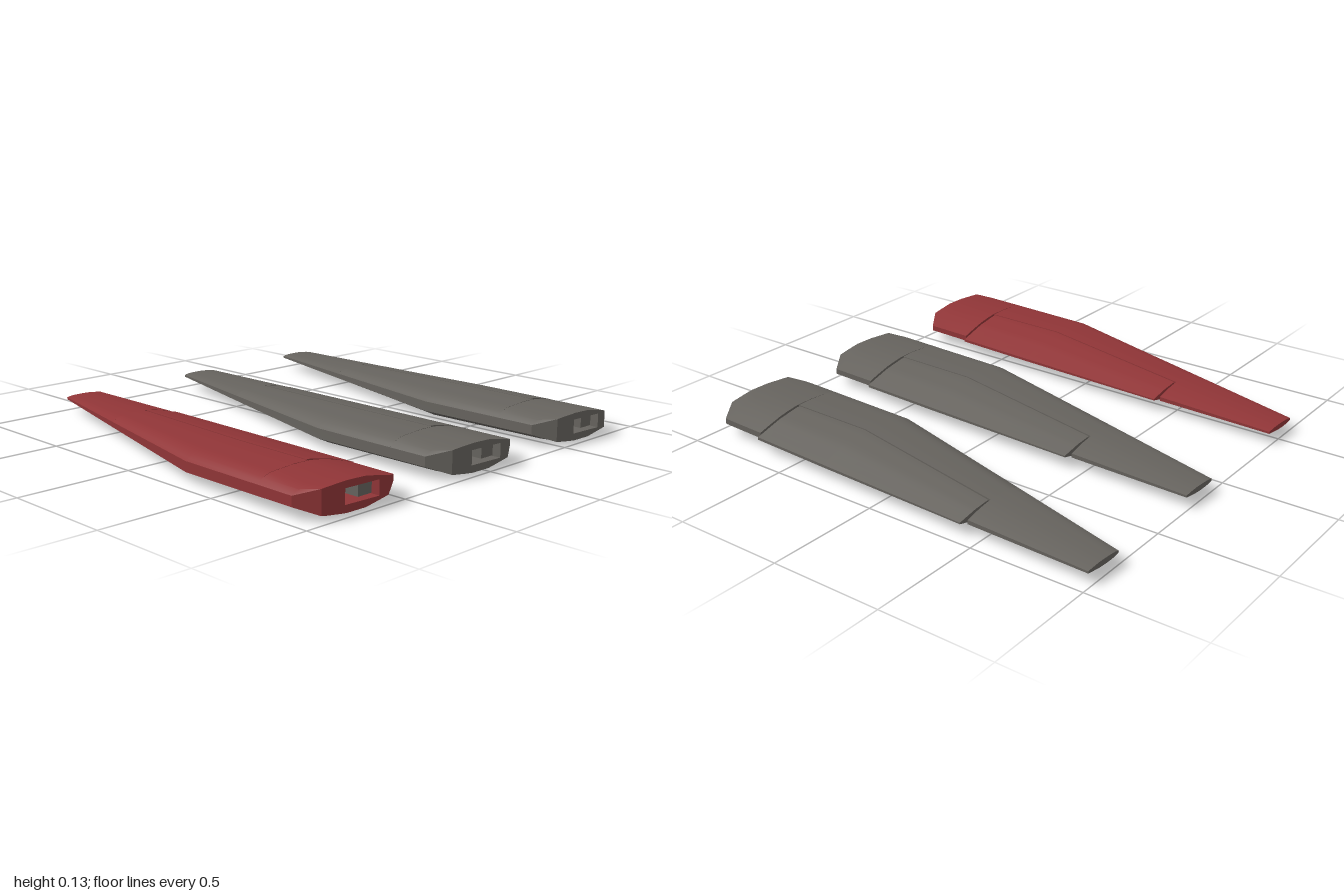
import * as THREE from 'three';
import { toCreasedNormals } from 'three/addons/utils/BufferGeometryUtils.js';

const material = (name, color) => new THREE.MeshStandardMaterial({ name, color });

// Straight-line interpolation through [key, value] pairs
function sample(table, t) {
  let i = 0;
  while (i < table.length - 2 && t > table[i + 1][0]) i++;
  const [a, va] = table[i], [b, vb] = table[i + 1];
  return va + (vb - va) * THREE.MathUtils.clamp((t - a) / (b - a), 0, 1);
}

// Wing planform and aerofoil rules
const LEADING = [[-1, 0.095], [0.29, -0.245], [0.89, -0.265], [1, -0.268]];
const UPPER = [[0, 0.024], [0.06, 0.044], [0.13, 0.057], [0.37, 0.065], [0.55, 0.063], [0.75, 0.044], [1, 0.004]];
const LOWER = [[0, -0.02], [0.13, -0.05], [0.35, -0.064], [0.55, -0.062], [0.8, -0.034], [1, -0.008]];
const THICKNESS = [[-1, 0.19], [0.3, 1], [1, 0.93]];
const MIDLINE = [[-1, 0.057], [0.3, 0.066], [1, 0.072]];
const fixedTrailing = z => 0.24 - 0.035 * z;
const FRACTIONS = [0, 0.06, 0.13, 0.25, 0.37, 0.46, 0.55, 0.65, 0.75, 0.88, 1];

function surfaceY(table, x, z) {
  const lead = sample(LEADING, z);
  const u = (x - lead) / (fixedTrailing(z) + 0.025 - lead);
  return sample(MIDLINE, z) + sample(THICKNESS, z) * sample(table, u);
}

// Cross-section between two plan points: over the top, then back underneath
function section([xa, za, xb, zb]) {
  const over = [], under = [];
  for (const f of FRACTIONS) {
    const x = xa + (xb - xa) * f, z = za + (zb - za) * f;
    over.push([x, surfaceY(UPPER, x, z), z]);
    under.unshift([x, surfaceY(LOWER, x, z), z]);
  }
  return [...over, ...under];
}

// Skin over matching rings, with optional flat ends
function loft(rings, startCap = true, endCap = true) {
  const n = rings[0].length, index = [];
  for (let i = 0; i < rings.length - 1; i++) {
    for (let j = 0; j < n; j++) {
      const a = i * n + j, b = i * n + (j + 1) % n;
      index.push(a, a + n, b, b, a + n, b + n);
    }
  }
  const cap = (o, flip) => {
    for (let k = 0; k < n / 2 - 1; k++) {
      const u = o + k, l = o + n - 1 - k;
      const t = [u, l, l - 1, u, l - 1, u + 1];
      index.push(...(flip ? t.reverse() : t));
    }
  };
  if (startCap) cap(0, true);
  if (endCap) cap((rings.length - 1) * n, false);
  const g = new THREE.BufferGeometry();
  g.setAttribute('position', new THREE.Float32BufferAttribute(rings.flat(2), 3));
  g.setIndex(index);
  return toCreasedNormals(g, 0.35);
}

// Root end plate with a rectangular socket opening
const HOLE = { x0: -0.095, x1: 0.07, y0: 0.043, y1: 0.104 };
const ROOT = [-0.205, 0.975, 0.115, 0.995];
const rootZ = x => 0.975 + (x + 0.205) * 0.0625;

function rootPlate() {
  const shape = new THREE.Shape(section(ROOT).map(p => new THREE.Vector2(p[0], p[1])));
  const { x0, x1, y0, y1 } = HOLE;
  shape.holes.push(new THREE.Path([[x0, y0], [x0, y1], [x1, y1], [x1, y0]].map(p => new THREE.Vector2(...p))));
  const g = new THREE.ShapeGeometry(shape), pos = g.attributes.position;
  for (let i = 0; i < pos.count; i++) pos.setZ(i, rootZ(pos.getX(i)));
  g.computeVertexNormals();
  return g;
}

function socket() {
  const { x0, x1, y0, y1 } = HOLE;
  const ring = z => [[x0, y1], [x1, y1], [x1, y0], [x0, y0]].map(([x, y]) => [x, y, z(x)]);
  // front-to-back order turns the walls inward
  return loft([ring(rootZ), ring(() => 0.8)], false, true);
}

function createWing(name, paint, sparPaint) {
  const wing = new THREE.Group();
  wing.name = name;
  const add = (part, geometry, mat = paint) => {
    const mesh = new THREE.Mesh(geometry, mat);
    mesh.name = part;
    wing.add(mesh);
    return mesh;
  };
  const lead = z => sample(LEADING, z);
  const panel = (stations, end = true) => loft(stations.map(section), true, end);

  // Fixed wing: outer panel, panel ahead of the flap, root panel
  add('outerPanel', panel([
    [lead(-1), -1, 0.275, -0.99],
    [lead(-0.44), -0.442, fixedTrailing(-0.44), -0.438],
  ]));
  add('frontPanel', panel([
    [lead(-0.44), -0.442, 0.118, -0.44],
    [lead(0.29), 0.29, -0.001, 0.31],
    [lead(0.705), 0.705, -0.007, 0.705],
  ]));
  add('rootPanel', panel([
    [lead(0.705), 0.705, 0.215, 0.712],
    [-0.265, 0.89, 0.208, 0.935],
    ROOT,
  ], false));

  // Flap, set off from the wing by a narrow gap
  add('flap', panel([
    [0.125, -0.434, 0.28, -0.421],
    [0.005, 0.31, 0.254, 0.31],
    [-0.001, 0.694, 0.24, 0.701],
  ]));

  // Root socket with the spar end inside
  add('rootPlate', rootPlate());
  add('socket', socket());
  add('spar', new THREE.BoxGeometry(0.072, 0.055, 0.15), sparPaint).position.set(0.033, 0.0735, 0.88);
  return wing;
}

export function createModel() {
  const red = material('dark red paint', 0x903537);
  const grey = material('warm grey paint', 0x66635e);
  const model = new THREE.Group();
  model.name = 'wingSet';
  [['redWing', red, -0.7], ['middleGreyWing', grey, 0], ['leftGreyWing', grey, 0.68]].forEach(([name, paint, x]) => {
    const wing = createWing(name, paint, grey);
    wing.position.x = x;
    model.add(wing);
  });
  return model;
}
